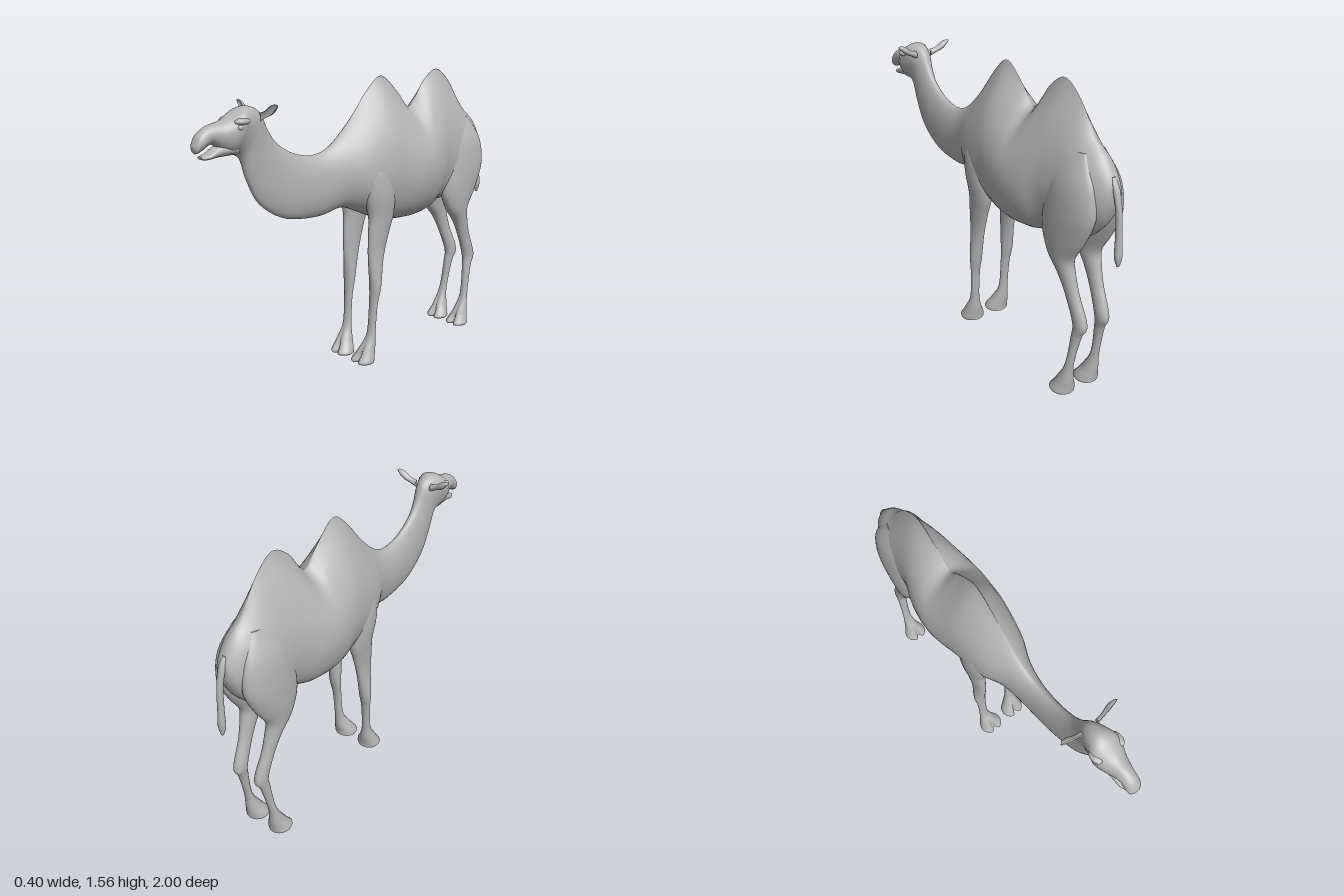
import * as THREE from 'three';

const SEG = 40;

// Catmull-Rom blending of section rows, giving a denser list of rows
function refine(rows, steps = 5) {
  const out = [];
  const at = i => rows[Math.max(0, Math.min(rows.length - 1, i))];
  for (let i = 0; i < rows.length - 1; i++) {
    for (let k = 0; k < steps; k++) {
      const t = k / steps;
      const [a, b, c, d] = [at(i - 1), at(i), at(i + 1), at(i + 2)];
      out.push(b.map((p, j) => 0.5 * (2 * p + (c[j] - a[j]) * t
        + (2 * a[j] - 5 * p + 4 * c[j] - d[j]) * t * t
        + (3 * p - a[j] - 3 * c[j] + d[j]) * t * t * t)));
    }
  }
  out.push(rows[rows.length - 1]);
  return out;
}

// Closed skin over refined sections; point(row, angle) gives [x, y, z]
function loft(rows, point) {
  const pos = [], idx = [];
  const rings = refine(rows).map(row =>
    Array.from({ length: SEG }, (_, i) => point(row, (i / SEG) * Math.PI * 2)));
  rings.forEach(r => r.forEach(p => pos.push(...p)));
  for (let r = 0; r < rings.length - 1; r++) {
    for (let i = 0; i < SEG; i++) {
      const a = r * SEG + i, b = r * SEG + (i + 1) % SEG;
      idx.push(a, b, a + SEG, b, b + SEG, a + SEG);
    }
  }
  // end caps with their own vertices, so that their rims stay crisp
  [rings[0], rings[rings.length - 1]].forEach((ring, end) => {
    const start = pos.length / 3;
    ring.forEach(p => pos.push(...p));
    pos.push(...[0, 1, 2].map(j => ring.reduce((s, p) => s + p[j], 0) / SEG));
    for (let i = 0; i < SEG; i++) {
      const a = start + i, b = start + (i + 1) % SEG, c = start + SEG;
      if (end) idx.push(a, b, c); else idx.push(b, a, c);
    }
  });
  // turn the skin outwards if its enclosed volume is negative
  const v = i => new THREE.Vector3(pos[3 * i], pos[3 * i + 1], pos[3 * i + 2]);
  let volume = 0;
  for (let i = 0; i < idx.length; i += 3) volume += v(idx[i]).dot(v(idx[i + 1]).cross(v(idx[i + 2])));
  if (volume < 0) idx.reverse();
  const g = new THREE.BufferGeometry();
  g.setAttribute('position', new THREE.Float32BufferAttribute(pos, 3));
  g.setIndex(idx);
  g.computeVertexNormals();
  return g;
}

// Trunk section: [top z, top y, bottom z, bottom y, half width, ridge sharpness, widest height]
function trunkPoint([zt, yt, zb, yb, w, e, m], a) {
  const s = Math.sin(a), c = Math.cos(a);
  const f = s > 0 ? m + (1 - m) * s : m + m * s;
  const x = w * Math.sign(c) * Math.pow(Math.abs(c), s > 0 ? e : 1);
  return [x, yb + (yt - yb) * f, zb + (zt - zb) * f];
}

// Limb section: [y, front z, back z, inner x, outer x, toe cleft depth]
const limbPoint = side => ([y, zf, zb, xi, xo, cleft = 0], a) => {
  const c = Math.cos(a), s = Math.sin(a);
  const notch = s > 0 ? cleft * Math.exp(-((c / 0.2) ** 2)) : 0;
  return [side * ((xi + xo) / 2 + (xo - xi) / 2 * c), y, (zf + zb) / 2 + (zf - zb) / 2 * s - notch];
};

// Ear section: [x, y, z, half height, half depth], hollow towards the front
const earPoint = side => ([x, y, z, ry, rz], a) => {
  const s = Math.sin(a);
  return [side * x, y + ry * Math.cos(a), z + rz * (s > 0 ? -0.35 * s : s)];
};

const trunkRear = [
  [-0.94, 1.09, -0.93, 1.05, 0.02, 1, 0.5],
  [-0.935, 1.17, -0.89, 0.96, 0.06, 1, 0.5],
  [-0.87, 1.27, -0.81, 0.87, 0.1, 1.2, 0.5],
  [-0.79, 1.345, -0.72, 0.83, 0.125, 1.5, 0.45],
  [-0.69, 1.485, -0.64, 0.81, 0.13, 2.2, 0.4],
  [-0.58, 1.56, -0.555, 0.8, 0.145, 2.6, 0.4],
  [-0.475, 1.5, -0.46, 0.765, 0.18, 2.4, 0.4],
  [-0.365, 1.367, -0.35, 0.75, 0.2, 1.8, 0.5],
  [-0.276, 1.45, -0.25, 0.752, 0.195, 2.3, 0.43],
  [-0.15, 1.545, -0.15, 0.765, 0.175, 2.6, 0.4],
  [-0.045, 1.475, -0.05, 0.8, 0.16, 2.3, 0.38],
  [0.08, 1.33, 0.05, 0.845, 0.135, 1.8, 0.4],
];
const neckAndHead = [
  [0.2, 1.22, 0.15, 0.88, 0.085, 1.3, 0.45],
  [0.31, 1.18, 0.3, 0.858, 0.06, 1.1, 0.5],
  [0.437, 1.2, 0.5, 0.882, 0.05, 1, 0.5],
  [0.545, 1.265, 0.65, 0.975, 0.046, 1, 0.55],
  [0.6, 1.34, 0.72, 1.1, 0.047, 1, 0.55],
  [0.64, 1.42, 0.752, 1.205, 0.055, 1, 0.6],
  [0.7, 1.455, 0.785, 1.235, 0.07, 1, 0.62],
  [0.76, 1.45, 0.82, 1.245, 0.082, 1, 0.62],
  [0.84, 1.405, 0.865, 1.27, 0.06, 1, 0.55],
  [0.92, 1.385, 0.91, 1.3, 0.042, 1, 0.5],
  [0.97, 1.355, 0.962, 1.275, 0.04, 1, 0.5],
  [0.992, 1.32, 0.988, 1.265, 0.03, 1, 0.5],
  [1.0, 1.3, 0.998, 1.28, 0.012, 1, 0.5],
];
const jaw = [
  [0.79, 1.3, 0.78, 1.24, 0.05, 1, 0.5],
  [0.87, 1.295, 0.87, 1.238, 0.04, 1, 0.5],
  [0.93, 1.262, 0.93, 1.232, 0.034, 1, 0.5],
  [0.965, 1.252, 0.963, 1.236, 0.02, 1, 0.5],
];
const frontLeg = [
  [1.2, 0.02, -0.09, 0.05, 0.1, 0],
  [1.08, 0.06, -0.13, 0.03, 0.152, 0],
  [0.95, 0.055, -0.145, 0.04, 0.163, 0],
  [0.82, 0.027, -0.14, 0.055, 0.15, 0],
  [0.72, 0.03, -0.11, 0.065, 0.138, 0],
  [0.59, 0.03, -0.075, 0.07, 0.13, 0],
  [0.43, 0.017, -0.045, 0.07, 0.14, 0],
  [0.32, 0.017, -0.022, 0.075, 0.13, 0],
  [0.16, 0.032, -0.012, 0.073, 0.126, 0],
  [0.08, 0.075, -0.01, 0.05, 0.138, 0.012],
  [0.04, 0.1, -0.005, 0.03, 0.147, 0.03],
  [0.012, 0.12, -0.002, 0.017, 0.153, 0.035],
  [0, 0.114, -0.003, 0.02, 0.148, 0.035],
];
const hindLeg = [
  [1.28, -0.66, -0.8, 0.03, 0.075, 0],
  [1.15, -0.6, -0.88, 0.02, 0.132, 0],
  [1.0, -0.575, -0.9, 0.012, 0.15, 0],
  [0.86, -0.57, -0.845, 0.02, 0.147, 0],
  [0.75, -0.615, -0.782, 0.035, 0.135, 0],
  [0.67, -0.68, -0.79, 0.043, 0.12, 0],
  [0.57, -0.735, -0.822, 0.047, 0.106, 0],
  [0.43, -0.793, -0.88, 0.04, 0.1, 0],
  [0.35, -0.795, -0.85, 0.05, 0.1, 0],
  [0.18, -0.775, -0.815, 0.06, 0.108, 0],
  [0.08, -0.725, -0.81, 0.042, 0.124, 0.012],
  [0.04, -0.7, -0.806, 0.025, 0.135, 0.03],
  [0.012, -0.68, -0.804, 0.015, 0.145, 0.035],
  [0, -0.686, -0.804, 0.018, 0.14, 0.035],
];
const tail = [
  [1.2, -0.9, -0.925, -0.01, 0.01],
  [1.15, -0.925, -0.955, -0.018, 0.018],
  [1.05, -0.95, -0.982, -0.015, 0.015],
  [0.93, -0.96, -0.993, -0.016, 0.016],
  [0.84, -0.965, -1.0, -0.02, 0.02],
  [0.79, -0.977, -0.992, -0.006, 0.006],
];
const ear = [
  [0.045, 1.405, 0.67, 0.02, 0.02],
  [0.08, 1.418, 0.665, 0.016, 0.018],
  [0.12, 1.44, 0.66, 0.021, 0.024],
  [0.148, 1.457, 0.655, 0.012, 0.016],
  [0.163, 1.463, 0.652, 0.003, 0.004],
];

export function createModel() {
  const model = new THREE.Group();
  const hide = new THREE.MeshStandardMaterial({ color: 0xb4b4b4 });
  hide.name = 'grey hide';
  const add = (name, geometry) => {
    const mesh = new THREE.Mesh(geometry, hide);
    mesh.name = name;
    model.add(mesh);
    return mesh;
  };

  // humped body running on into neck and head
  add('bodyNeckAndHead', loft([...trunkRear, ...neckAndHead], trunkPoint));
  add('lowerJaw', loft(jaw, trunkPoint));
  add('tail', loft(tail, limbPoint(1)));

  // paired parts
  for (const side of [1, -1]) {
    const label = side > 0 ? 'left' : 'right';
    add(label + 'FrontLeg', loft(frontLeg, limbPoint(side)));
    add(label + 'HindLeg', loft(hindLeg, limbPoint(side)));
    add(label + 'Ear', loft(ear, earPoint(side)));
    const ball = new THREE.SphereGeometry(1, 20, 14);
    const brow = add(label + 'Brow', ball);
    brow.scale.set(0.025, 0.016, 0.04);
    brow.position.set(side * 0.064, 1.395, 0.775);
    const eye = add(label + 'Eye', ball);
    eye.scale.set(0.012, 0.013, 0.017);
    eye.position.set(side * 0.073, 1.37, 0.79);
  }
  return model;
}
